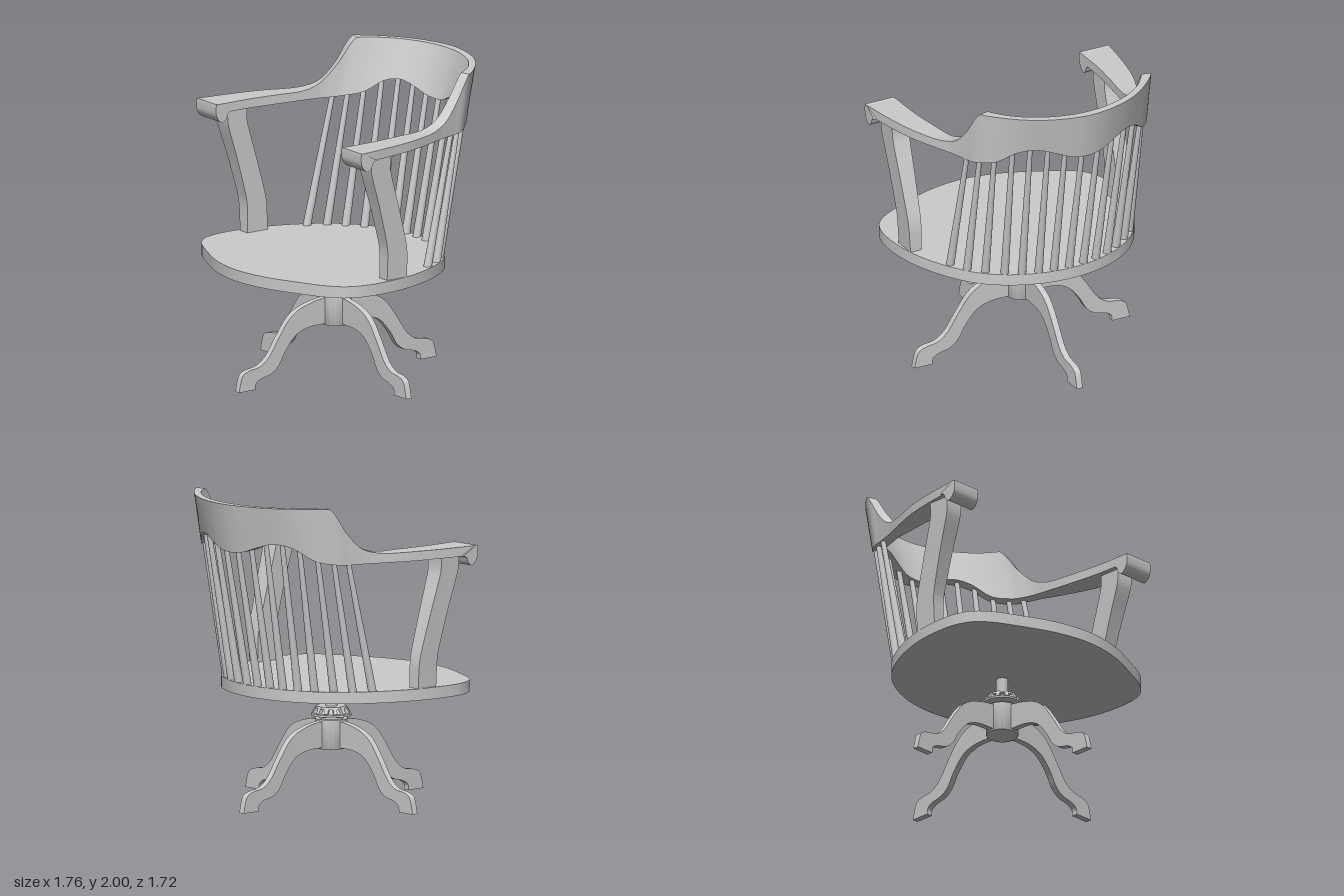
import * as THREE from 'three';
import { toCreasedNormals } from 'three/addons/utils/BufferGeometryUtils.js';

const material = new THREE.MeshStandardMaterial({ color: 0xcccccc });
const V2 = (p) => new THREE.Vector2(p[0], p[1]);
const BASE_Z = 0.074; // pedestal axis

function add(parent, name, geometry) {
  const mesh = new THREE.Mesh(geometry, material);
  mesh.name = name;
  parent.add(mesh);
  return mesh;
}

// Extrudes a (z, y) profile sideways, from |x| = inner to |x| = outer(y), on side s
function sideProfile(shape, s, inner, outer) {
  const geo = new THREE.ExtrudeGeometry(shape, { depth: 1, bevelEnabled: false, curveSegments: 24 });
  geo.rotateY(-Math.PI / 2);
  const p = geo.attributes.position;
  for (let i = 0; i < p.count; i++) {
    const t = s > 0 ? p.getX(i) + 1 : -p.getX(i);
    p.setX(i, s * THREE.MathUtils.lerp(inner, outer(p.getY(i)), t));
  }
  return toCreasedNormals(geo, 0.6);
}

// Seat board
function seatGeometry() {
  const half = [[0, -0.59], [0.2, -0.565], [0.4, -0.485], [0.55, -0.37], [0.66, -0.22], [0.74, -0.05],
    [0.79, 0.12], [0.81, 0.3], [0.8, 0.45], [0.755, 0.56], [0.66, 0.645], [0.5, 0.725], [0.25, 0.825], [0, 0.862]];
  const mirrored = half.slice(1, -1).reverse().map(([x, z]) => [-x, z]);
  const curve = new THREE.CatmullRomCurve3(
    [...half, ...mirrored].map(([x, z]) => new THREE.Vector3(x, z, 0)), true, 'centripetal');
  const shape = new THREE.Shape(curve.getPoints(120).slice(0, -1).map((p) => new THREE.Vector2(p.x, p.y)));
  const geo = new THREE.ExtrudeGeometry(shape, { depth: 0.075, bevelEnabled: false });
  geo.rotateX(Math.PI / 2).translate(0, 0.803, 0);
  return toCreasedNormals(geo, 0.6);
}

// Back rail and arms in one sweep; stations run from the middle of the back to an arm end:
// outer x, outer z, inner x, inner z, underside y, top y
const stations = [
  [0, -0.8, 0, -0.7, 1.685, 2],
  [0.1, -0.79, 0.09, -0.695, 1.695, 2],
  [0.2, -0.765, 0.18, -0.675, 1.73, 2],
  [0.31, -0.722, 0.28, -0.64, 1.76, 2],
  [0.42, -0.655, 0.38, -0.585, 1.74, 2],
  [0.53, -0.56, 0.48, -0.5, 1.66, 2],
  [0.62, -0.455, 0.555, -0.395, 1.635, 2],
  [0.648, -0.37, 0.585, -0.32, 1.63, 1.84],
  [0.668, -0.305, 0.605, -0.26, 1.63, 1.75],
  [0.69, -0.24, 0.615, -0.2, 1.63, 1.71],
  [0.735, -0.13, 0.627, -0.11, 1.63, 1.69],
  [0.805, 0.07, 0.648, 0.06, 1.63, 1.69],
  [0.85, 0.29, 0.668, 0.27, 1.63, 1.69],
  [0.88, 0.515, 0.67, 0.515, 1.63, 1.69],
];

function sampleStation(u) {
  const n = stations.length - 1;
  const i = Math.min(Math.floor(u), n - 1);
  const at = (k) => (k < 0 ? stations[-k].map((v, c) => (c === 0 || c === 2 ? -v : v)) : stations[Math.min(k, n)]);
  return stations[0].map((_, c) => THREE.MathUtils.clamp(
    catmull(at(i - 1)[c], at(i)[c], at(i + 1)[c], at(i + 2)[c], u - i), -2, 2));
}

function catmull(a, b, c, d, t) {
  const m0 = (c - a) / 2, m1 = (d - b) / 2;
  return (2 * b - 2 * c + m0 + m1) * t ** 3 + (3 * c - 3 * b - 2 * m0 - m1) * t * t + m0 * t + b;
}

function railGeometry() {
  const steps = 6, n = (stations.length - 1) * steps;
  const pos = [], index = [];
  for (let k = -n; k <= n; k++) {
    const s = k < 0 ? -1 : 1;
    const [ox, oz, ix, iz, yb, yt] = sampleStation(Math.abs(k) / steps);
    const rise = Math.max(0, yt - 1.69);
    pos.push(s * ox, yb, oz, s * ox, yt, oz - 0.2 * rise); // outer face leans back
    pos.push(s * ix, yt, iz - 0.34 * rise, s * ix, yb, iz); // inner face leans more
  }
  for (let i = 0; i < 2 * n; i++) {
    for (let j = 0; j < 4; j++) {
      const a = i * 4 + j, b = i * 4 + (j + 1) % 4;
      index.push(a, b, b + 4, a, b + 4, a + 4);
    }
  }
  const e = 2 * n * 4;
  index.push(0, 2, 1, 0, 3, 2, e, e + 1, e + 2, e, e + 2, e + 3);
  const geo = new THREE.BufferGeometry();
  geo.setAttribute('position', new THREE.Float32BufferAttribute(pos, 3));
  geo.setIndex(index);
  return toCreasedNormals(geo, 0.6);
}

// Tapered rod from a (thick end) to b
function rod(parent, name, a, b, rA, rB) {
  const dir = b.clone().sub(a);
  const mesh = add(parent, name, new THREE.CylinderGeometry(rB, rA, dir.length(), 16));
  mesh.position.copy(a).addScaledVector(dir, 0.5);
  mesh.quaternion.setFromUnitVectors(new THREE.Vector3(0, 1, 0), dir.normalize());
}

// Curved leg reaching along +x, with a bent foot
function legGeometry() {
  const shape = new THREE.Shape();
  shape.moveTo(0.05, 0.52);
  shape.lineTo(0.1, 0.52);
  shape.splineThru([[0.2, 0.505], [0.31, 0.47], [0.386, 0.415], [0.465, 0.31], [0.54, 0.2], [0.61, 0.147],
    [0.69, 0.132], [0.735, 0.115], [0.757, 0.085], [0.778, 0]].map(V2));
  shape.lineTo(0.65, 0);
  shape.splineThru([[0.643, 0.04], [0.6, 0.066], [0.525, 0.085], [0.465, 0.13], [0.41, 0.22], [0.33, 0.308],
    [0.23, 0.345], [0.1, 0.35]].map(V2));
  shape.lineTo(0.05, 0.35);
  const geo = new THREE.ExtrudeGeometry(shape, { depth: 0.042, bevelEnabled: false, curveSegments: 40 });
  return toCreasedNormals(geo.translate(0, 0, -0.021), 0.6);
}

function lathe(points) {
  return toCreasedNormals(new THREE.LatheGeometry(points.map(V2), 48), 0.6);
}

export function createModel() {
  const model = new THREE.Group();
  model.name = 'swivelArmchair';
  add(model, 'seat', seatGeometry());
  add(model, 'backRailAndArms', railGeometry());

  // Arm posts and the rolled ends of the arms
  const post = new THREE.Shape();
  post.moveTo(0.095, 0.79);
  post.lineTo(0.25, 0.79);
  post.splineThru([[0.25, 0.9], [0.252, 0.98], [0.265, 1.06], [0.33, 1.3], [0.39, 1.49], [0.405, 1.56], [0.405, 1.635]].map(V2));
  post.lineTo(0.255, 1.635);
  post.splineThru([[0.255, 1.56], [0.24, 1.49], [0.18, 1.29], [0.115, 1.06], [0.098, 0.97], [0.095, 0.9], [0.095, 0.79]].map(V2));
  const scroll = new THREE.Shape();
  scroll.moveTo(0.395, 1.632);
  scroll.splineThru([[0.425, 1.622], [0.443, 1.585], [0.47, 1.566], [0.497, 1.58], [0.512, 1.6], [0.522, 1.625], [0.525, 1.66]].map(V2));
  scroll.lineTo(0.52, 1.691);
  scroll.lineTo(0.5, 1.691);
  scroll.lineTo(0.45, 1.66);
  for (const s of [1, -1]) {
    const side = s > 0 ? 'left' : 'right';
    add(model, side + 'ArmPost', sideProfile(post, s, 0.705, (y) => 0.785 + (y - 0.8) * 0.055));
    add(model, side + 'ArmScroll', sideProfile(scroll, s, 0.67, () => 0.88));
  }

  // Back spindles: base x, base z, top x, top z, top y
  const spindles = new THREE.Group();
  spindles.name = 'backSpindles';
  model.add(spindles);
  const rods = [[0, -0.56, 0, -0.74, 1.72], [0.106, -0.553, 0.12, -0.732, 1.73], [0.206, -0.535, 0.233, -0.71, 1.76],
    [0.307, -0.5, 0.34, -0.67, 1.77], [0.402, -0.445, 0.435, -0.61, 1.75], [0.5, -0.37, 0.525, -0.535, 1.68],
    [0.585, -0.285, 0.585, -0.45, 1.65], [0.645, -0.17, 0.63, -0.365, 1.64]];
  for (const [x, z, tx, tz, ty] of rods) {
    for (const s of x ? [1, -1] : [1]) {
      rod(spindles, 'spindle', new THREE.Vector3(s * x, 0.79, z), new THREE.Vector3(s * tx, ty, tz), 0.027, 0.016);
    }
  }

  // Pedestal: shaft, adjusting wheel, hub and four legs
  const base = new THREE.Group();
  base.name = 'pedestal';
  base.position.z = BASE_Z;
  model.add(base);
  add(base, 'shaft', new THREE.CylinderGeometry(0.038, 0.038, 0.25, 32)).position.y = 0.625;
  add(base, 'hub', lathe([[0, 0.34], [0.1, 0.34], [0.103, 0.345], [0.103, 0.53], [0.075, 0.53], [0.075, 0.548], [0, 0.548]]));
  add(base, 'adjustingWheel', lathe([[0, 0.545], [0.11, 0.545], [0.13, 0.55], [0.128, 0.562], [0.1, 0.565],
    [0.075, 0.595], [0.1, 0.595], [0.095, 0.61], [0, 0.61]]));
  for (let i = 0; i < 12; i++) {
    const grip = new THREE.Group();
    grip.rotation.y = (i / 12) * Math.PI * 2;
    base.add(grip);
    const rib = add(grip, 'wheelRib', new THREE.BoxGeometry(0.04, 0.05, 0.024));
    rib.position.set(0.092, 0.579, 0);
    rib.rotation.z = 0.55;
  }
  const leg = legGeometry();
  for (let i = 0; i < 4; i++) add(base, 'leg', leg).rotation.y = (i * Math.PI) / 2;
  return model;
}
